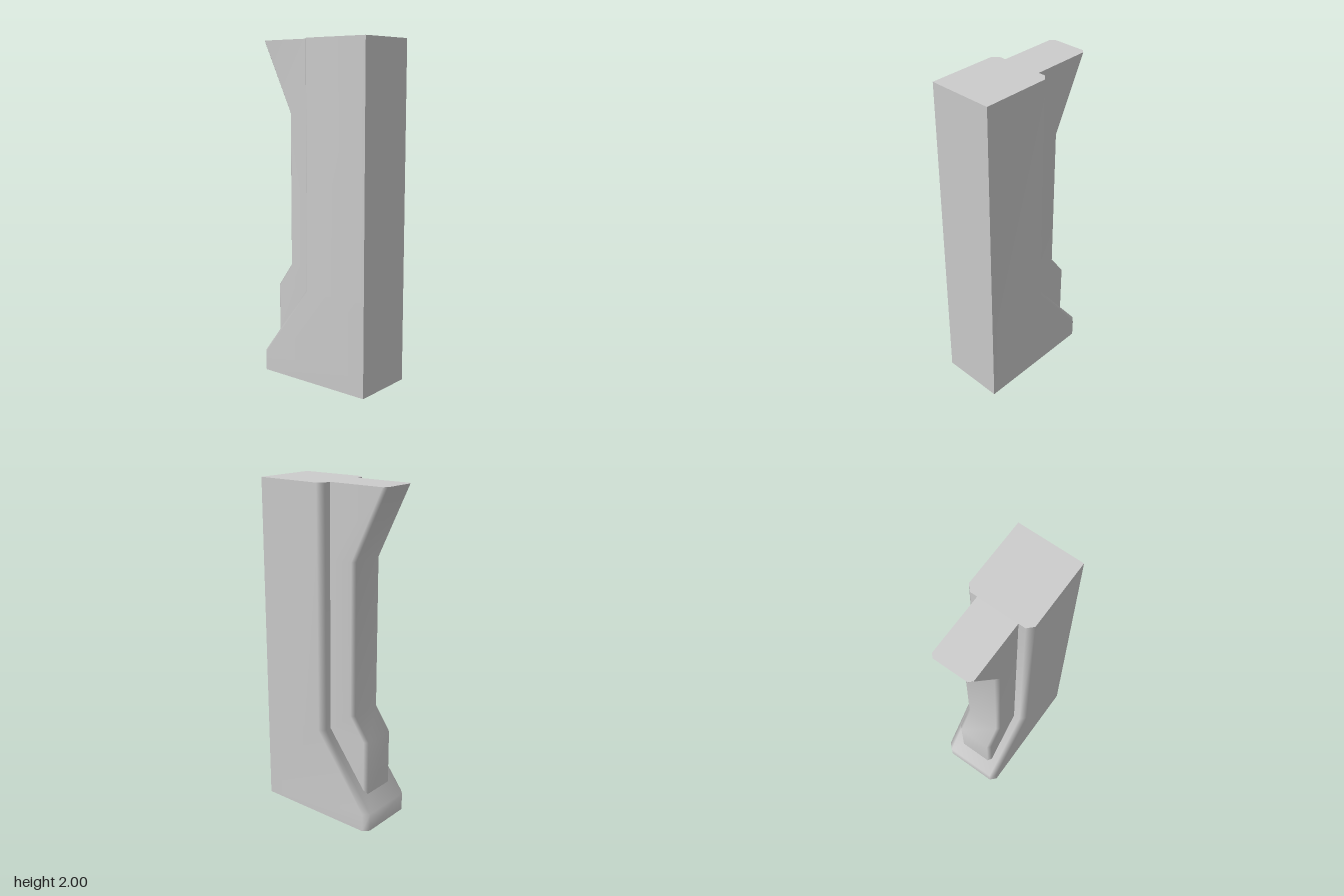
import * as THREE from 'three';
import { mergeGeometries } from 'three/addons/utils/BufferGeometryUtils.js';

function buildGeometry(positions, index) {
  const g = new THREE.BufferGeometry();
  g.setAttribute('position', new THREE.Float32BufferAttribute(positions.flat(), 3));
  g.setIndex(index);
  g.computeVertexNormals();
  return g.toNonIndexed();
}

// Upright block with a flat front and a back that follows profile [y, z];
// the two back corners are chamfered and softly shaded, other edges stay sharp.
function chamferedBlock(halfWidth, front, chamfer, profile) {
  const rings = profile.map(([y, z]) => [
    [halfWidth, y, front],
    [halfWidth, y, z + chamfer],
    [halfWidth - chamfer, y, z],
    [chamfer - halfWidth, y, z],
    [-halfWidth, y, z + chamfer],
    [-halfWidth, y, front],
  ]);
  const n = rings[0].length;
  const bottom = rings[0];
  const top = rings[rings.length - 1];

  // sides, chamfers and back in one smooth skin
  const skin = [];
  for (let r = 0; r < rings.length - 1; r++) {
    for (let i = 0; i < n - 1; i++) {
      const a = r * n + i;
      skin.push(a, a + 1, a + 1 + n, a, a + 1 + n, a + n);
    }
  }

  // end caps
  const up = [], down = [];
  for (let i = 1; i < n - 1; i++) {
    up.push(0, i, i + 1);
    down.push(0, i + 1, i);
  }

  return mergeGeometries([
    buildGeometry(rings.flat(), skin),
    buildGeometry(top, up),
    buildGeometry(bottom, down),
    buildGeometry([bottom[n - 1], bottom[0], top[0], top[n - 1]], [0, 1, 2, 0, 2, 3]),
  ]);
}

export function createModel() {
  const group = new THREE.Group();
  group.name = 'wallPillar';
  const material = new THREE.MeshStandardMaterial({ color: 0xcccccc });

  const add = (name, geometry) => {
    const mesh = new THREE.Mesh(geometry, material);
    mesh.name = name;
    group.add(mesh);
  };

  // Main post, widening to a sloped foot at the back
  add('post', chamferedBlock(0.194, 0.408, 0.033,
    [[0, -0.37], [0.11, -0.37], [0.55, -0.035], [2, -0.035]]));

  // Narrow rib on the back, stepped at the bottom and flared at the top
  add('backRib', chamferedBlock(0.12, -0.035, 0.02,
    [[0.1, -0.305], [0.53, -0.305], [0.67, -0.205], [1.58, -0.205], [2, -0.408]]));

  return group;
}
